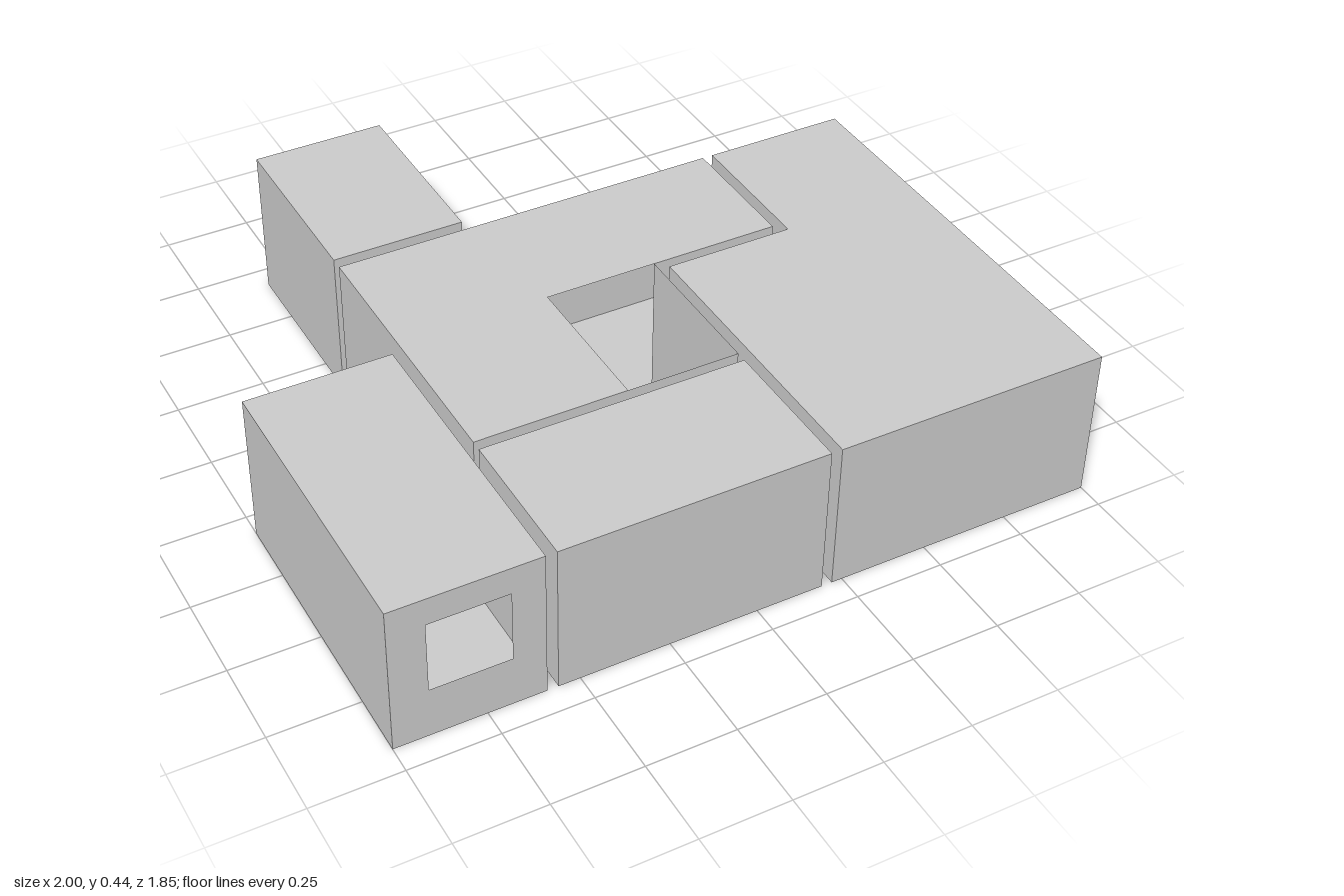
import * as THREE from 'three';
import { mergeGeometries } from 'three/addons/utils/BufferGeometryUtils.js';

const HEIGHT = 0.44;
const DOOR_HEIGHT = 0.3;

const material = new THREE.MeshStandardMaterial({ color: 0xcccccc, side: THREE.DoubleSide });

// Room outlines as [x, z], running anticlockwise as seen from above
const rect = (x0, x1, z0, z1) => [[x0, z1], [x1, z1], [x1, z0], [x0, z0]];
const rooms = {
  mainRoom: [[-0.56, 0.48], [0.19, 0.48], [0.19, 0.04], [0.56, 0.04], [0.56, -0.34], [-0.56, -0.34]],
  cornerRoom: [[0.22, 0.925], [1, 0.925], [1, -0.34], [0.59, -0.34], [0.59, 0.07], [0.22, 0.07]],
  frontRoom: rect(-0.56, 0.19, 0.51, 0.925),
  windowRoom: rect(-1, -0.59, 0.07, 0.925),
  backRoom: rect(-0.56, -0.18, -0.925, -0.375),
};

// Open roof area over the main room
const roofOpening = rect(-0.13, 0.19, 0.04, 0.48);

// Door passages: x0, x1, z0, z1 and whether one walks through along x
const doors = [
  { name: 'backDoor', x0: -0.44, x1: -0.295, z0: -0.375, z1: -0.34 },
  { name: 'frontDoor', x0: -0.44, x1: -0.295, z0: 0.48, z1: 0.51 },
  { name: 'rightDoor', x0: -0.59, x1: -0.56, z0: 0.19, z1: 0.34, alongX: true },
  { name: 'leftDoor', x0: 0.56, x1: 0.59, z0: -0.22, z1: -0.07, alongX: true },
];

// Wall openings as a span on the plan plus a height range
const openings = [];
for (const d of doors) {
  const ends = d.alongX
    ? [d.x0, d.x1].map((x) => [[x, d.z0], [x, d.z1]])
    : [d.z0, d.z1].map((z) => [[d.x0, z], [d.x1, z]]);
  for (const [a, b] of ends) openings.push({ a, b, y0: 0, y1: DOOR_HEIGHT });
}
for (const z of [0.07, 0.925]) {
  openings.push({ a: [-0.9, z], b: [-0.68, z], y0: 0.15, y1: 0.36 });
}

const toShape = (points) => new THREE.Shape(points.map(([x, y]) => new THREE.Vector2(x, y)));

// Flat sheet over a plan outline
function slab(outline, y, flipped = false) {
  const shape = toShape(outline.map(([x, z]) => [x, -z]));
  const geometry = new THREE.ShapeGeometry(shape).rotateX(-Math.PI / 2);
  if (flipped) {
    const index = geometry.index.array;
    for (let i = 0; i < index.length; i += 3) [index[i], index[i + 1]] = [index[i + 1], index[i]];
    geometry.computeVertexNormals();
  }
  return geometry.translate(0, y, 0);
}

// Upright sheet from plan point a to b, cut by the openings lying on it
function wall(a, b, height = HEIGHT, cuts = openings) {
  const length = Math.hypot(b[0] - a[0], b[1] - a[1]);
  const dir = [(b[0] - a[0]) / length, (b[1] - a[1]) / length];
  const along = (p) => (p[0] - a[0]) * dir[0] + (p[1] - a[1]) * dir[1];
  const off = (p) => Math.abs((p[0] - a[0]) * dir[1] - (p[1] - a[1]) * dir[0]);
  const spans = cuts
    .filter((o) => off(o.a) < 1e-4 && off(o.b) < 1e-4)
    .map((o) => ({ ...o, u: [along(o.a), along(o.b)].sort((p, q) => p - q) }))
    .filter((o) => o.u[0] > 0 && o.u[1] < length)
    .sort((p, q) => p.u[0] - q.u[0]);

  // Doors notch the bottom edge, windows are holes
  const outline = [[0, 0]];
  for (const { u, y0, y1 } of spans) {
    if (y0 === 0) outline.push([u[0], 0], [u[0], y1], [u[1], y1], [u[1], 0]);
  }
  outline.push([length, 0], [length, height], [0, height]);
  const shape = toShape(outline);
  for (const { u, y0, y1 } of spans) {
    if (y0 > 0) shape.holes.push(toShape([[u[0], y0], [u[0], y1], [u[1], y1], [u[1], y0]]));
  }

  const matrix = new THREE.Matrix4().makeBasis(
    new THREE.Vector3(dir[0], 0, dir[1]),
    new THREE.Vector3(0, 1, 0),
    new THREE.Vector3(-dir[1], 0, dir[0]),
  ).setPosition(a[0], 0, a[1]);
  return new THREE.ShapeGeometry(shape).applyMatrix4(matrix);
}

function addMesh(parent, name, geometry) {
  const mesh = new THREE.Mesh(geometry, material);
  mesh.name = name;
  parent.add(mesh);
}

export function createModel() {
  const model = new THREE.Group();
  model.name = 'floorPlan';

  // Hollow rooms
  for (const [name, outline] of Object.entries(rooms)) {
    const room = new THREE.Group();
    room.name = name;
    const walls = outline.map((p, i) => wall(p, outline[(i + 1) % outline.length]));
    addMesh(room, 'walls', mergeGeometries(walls));
    addMesh(room, 'floor', slab(outline, 0, true));

    // The main ceiling stops short of the roof opening
    let ceiling = outline;
    if (name === 'mainRoom') {
      const [frontLeft, , , backLeft] = roofOpening;
      ceiling = [outline[0], frontLeft, backLeft, ...outline.slice(3)];
    }
    addMesh(room, 'ceiling', slab(ceiling, HEIGHT));
    model.add(room);
  }

  // Short passages joining the rooms
  for (const { name, x0, x1, z0, z1, alongX } of doors) {
    const outline = rect(x0, x1, z0, z1);
    const sides = (alongX ? [0, 2] : [1, 3])
      .map((i) => wall(outline[i], outline[(i + 1) % 4], DOOR_HEIGHT, []));
    addMesh(model, name, mergeGeometries([
      ...sides, slab(outline, 0, true), slab(outline, DOOR_HEIGHT),
    ]));
  }

  return model;
}
